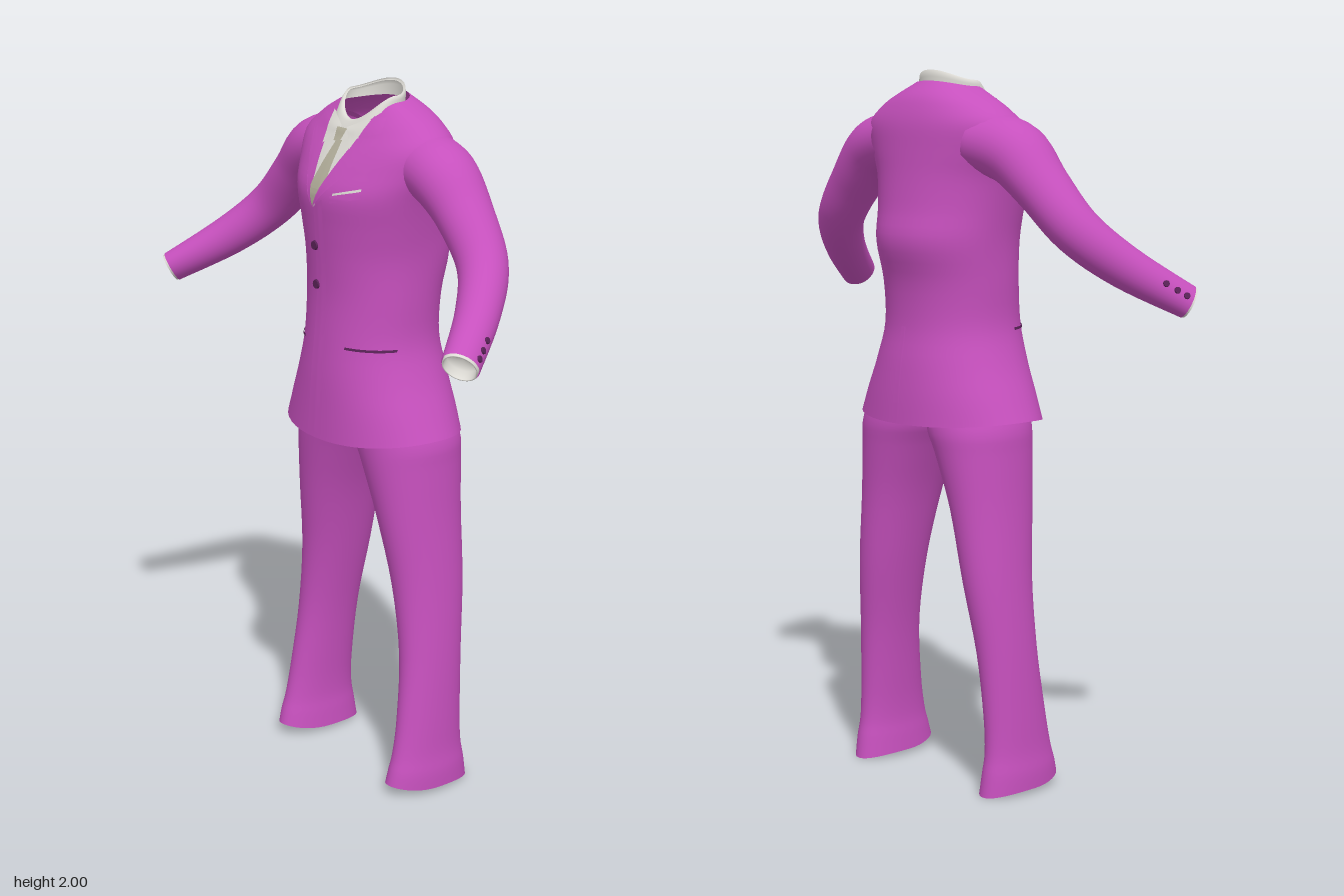
import * as THREE from 'three';

const mat = (name, color) => {
  const m = new THREE.MeshStandardMaterial({ color, side: THREE.DoubleSide });
  m.name = name;
  return m;
};

// Catmull-Rom smoothing of every column in a table of rows
function smooth(rows, k) {
  const out = [], at = i => rows[Math.max(0, Math.min(rows.length - 1, i))];
  for (let i = 0; i < rows.length - 1; i++) {
    for (let j = 0; j < k; j++) {
      const t = j / k;
      out.push(rows[i].map((b, c) => {
        const a = at(i - 1)[c], d = at(i + 1)[c], e = at(i + 2)[c];
        return b + 0.5 * t * (d - a + t * (2 * a - 5 * b + 4 * d - e + t * (3 * (b - d) + e - a)));
      }));
    }
  }
  out.push(rows[rows.length - 1]);
  return out;
}

// Skin over closed rings of points
function loft(rings, side = 1) {
  const n = rings[0].length, pos = [], idx = [];
  for (const ring of rings) {
    const pts = side < 0 ? [...ring].reverse() : ring;
    for (const p of pts) pos.push(p.x * side, p.y, p.z);
  }
  for (let r = 0; r < rings.length - 1; r++) {
    for (let i = 0; i < n; i++) {
      const a = r * n + i, b = r * n + (i + 1) % n;
      idx.push(a, a + n, b, b, a + n, b + n);
    }
  }
  const g = new THREE.BufferGeometry();
  g.setAttribute('position', new THREE.Float32BufferAttribute(pos, 3));
  g.setIndex(idx);
  g.computeVertexNormals();
  return g;
}

// Level ring: y, x from, x to, front z, back z, front rise, back rise
function levelRing([y, x0, x1, zf, zb, df, db], e = 2, n = 48) {
  const pow = v => Math.sign(v) * Math.abs(v) ** (2 / e);
  return Array.from({ length: n }, (_, i) => {
    const a = i / n * Math.PI * 2, c = pow(Math.cos(a)), s = pow(Math.sin(a));
    return new THREE.Vector3((x0 + x1) / 2 + c * (x1 - x0) / 2,
      y + s * s * (s > 0 ? df : db), (zf + zb) / 2 + s * (zf - zb) / 2);
  });
}

export function createModel() {
  const suit = mat('suit cloth', 0xc650bd);
  const shirt = mat('shirt white', 0xdddbd5);
  const tieMat = mat('tie beige', 0xb3af9b);
  const dark = mat('button dark', 0x5a2358);
  const model = new THREE.Group();
  const add = (name, geo, m, parent = model) => {
    const mesh = new THREE.Mesh(geo, m);
    mesh.name = name;
    parent.add(mesh);
    return mesh;
  };

  // Jacket body: y, half width, front z, back z, front rise, back rise
  const body = [
    [1.045, .292, .165, -.24, -.025, -.015],
    [1.11, .262, .16, -.235, 0, 0],
    [1.20, .222, .155, -.225, 0, 0],
    [1.30, .193, .146, -.21, 0, 0],
    [1.42, .194, .137, -.215, 0, 0],
    [1.53, .200, .140, -.242, 0, 0],
    [1.62, .213, .146, -.225, 0, 0],
    [1.71, .233, .150, -.212, 0, 0],
    [1.78, .258, .118, -.205, 0, 0],
    [1.85, .268, .086, -.198, -.02, 0],
    [1.90, .215, .066, -.183, -.04, 0],
    [1.93, .160, .055, -.163, -.05, .005],
    [1.955, .105, .040, -.125, -.06, .015],
  ].map(([y, w, ...rest]) => [y, -w, w, ...rest]);
  const jacket = add('jacketBody', loft(smooth(body, 4).map(r => levelRing(r, 2.15))), suit);
  jacket.updateMatrixWorld();

  // Thin four-cornered patch laid on the front (dir 1) or back (dir -1) of the jacket
  const ray = new THREE.Raycaster();
  const surface = (x, y, dir = 1) => {
    ray.set(new THREE.Vector3(x, y, dir), new THREE.Vector3(0, 0, -dir));
    const hit = ray.intersectObject(jacket)[0];
    return hit ? hit.point.z : 0.04 * dir;
  };
  const drape = (name, m, [a, b, c, d], lift, dir = 1, n = 10) => {
    const g = new THREE.PlaneGeometry(1, 1, n, n), p = g.attributes.position;
    for (let i = 0; i < p.count; i++) {
      const u = p.getX(i) + .5, v = .5 - p.getY(i);
      const [x, y] = [0, 1].map(k => (a[k] * (1 - u) + b[k] * u) * (1 - v) + (d[k] * (1 - u) + c[k] * u) * v);
      p.setXYZ(i, x, y, surface(x, y, dir) + lift * dir);
    }
    g.computeVertexNormals();
    return add(name, g, m);
  };

  // Shirt front, collar points, lapels and pockets on both sides
  const tip = [-.018, 1.672];
  for (const s of [1, -1]) {
    const f = pts => pts.map(([x, y]) => [x * s, y]);
    drape('shirtFront', shirt, [...f([[.088, 1.915], [0, 1.885]]), tip, tip], .004);
    drape('shirtCollarPoint', shirt, f([[.085, 1.92], [.012, 1.886], [.03, 1.868], [.06, 1.835]]), .013);
    drape('jacketCollar', suit, f([[.086, 1.922], [.125, 1.922], [.138, 1.885], [.07, 1.866]]), .011);
    drape('lapel', suit, [...f([[.068, 1.864], [.148, 1.872], [.075, 1.765]]), tip], .011);
    drape('hipPocket', dark, f([[.09, 1.297], [.2 - .012, 1.293], [.2 - .012, 1.286], [.09, 1.29]]), .004);
  }
  drape('frontOverlap', suit, [tip, [.02, 1.70], [.02, 1.04], [-.032, 1.04]], .006);
  drape('breastPocket', suit, [[.055, 1.715], [.15, 1.738], [.15, 1.718], [.055, 1.695]], .01);
  drape('pocketSquare', shirt, [[.06, 1.722], [.145, 1.744], [.145, 1.737], [.06, 1.715]], .007);
  drape('backVent', suit, [[-.004, 1.3], [.012, 1.3], [.022, 1.05], [-.004, 1.05]], .006, -1);

  // Tie
  drape('tieKnot', tieMat, [[-.022, 1.884], [.022, 1.884], [.013, 1.85], [-.013, 1.85]], .018);
  drape('tieBlade', tieMat, [[-.012, 1.852], [.012, 1.852], [.024, 1.725], [-.038, 1.725]], .009);
  drape('tieEnd', tieMat, [[-.038, 1.725], [.024, 1.725], tip, tip], .009);

  // Shirt collar band, dipping at the front
  add('shirtCollarBand', loft([
    [1.94, -.1, .1, .064, -.118, -.066, .012],
    [1.96, -.1, .1, .05, -.118, -.062, .022],
    [1.972, -.096, .096, .04, -.116, -.068, .028],
    [1.968, -.09, .09, .034, -.11, -.066, .026],
  ].map(r => levelRing(r, 2))), shirt);

  // Front buttons
  const button = (name, pos, dir, r, parent) => {
    const b = add(name, new THREE.CylinderGeometry(r * .85, r, .008, 16), dark, parent);
    b.position.copy(pos);
    b.quaternion.setFromUnitVectors(new THREE.Vector3(0, 1, 0), dir);
  };
  for (const y of [1.565, 1.455]) {
    button('frontButton', new THREE.Vector3(-.022, y, surface(-.022, y) + .008), new THREE.Vector3(0, 0, 1), .014, model);
  }

  // Sleeve: centre x, y, z, then half depth and half height
  const arm = smooth([
    [.17, 1.805, -.07, .105, .085],
    [.275, 1.775, -.06, .1, .087],
    [.37, 1.69, -.055, .083, .073],
    [.475, 1.578, -.03, .07, .066],
    [.565, 1.482, .06, .06, .058],
    [.665, 1.387, .2, .052, .043],
  ], 6);
  const armFrame = i => {
    const c = new THREE.Vector3(...arm[i]);
    const t = new THREE.Vector3(...arm[Math.min(i + 1, arm.length - 1)])
      .sub(new THREE.Vector3(...arm[Math.max(i - 1, 0)])).normalize();
    const u = new THREE.Vector3(0, 0, 1).addScaledVector(t, -t.z).normalize();
    return { c, t, u, v: u.clone().cross(t), ru: arm[i][3], rv: arm[i][4] };
  };
  const armRing = (i, k = 1, along = 0) => {
    const { c, t, u, v, ru, rv } = armFrame(i);
    return Array.from({ length: 32 }, (_, j) => {
      const a = j / 32 * Math.PI * 2;
      return c.clone().addScaledVector(t, along)
        .addScaledVector(u, Math.cos(a) * ru * k).addScaledVector(v, Math.sin(a) * rv * k);
    });
  };
  const end = arm.length - 1;
  const cuff = [[.94, -.03], [.94, .006], [.86, .006], [.84, -.025], [.01, -.03]];

  // Trouser leg: y, inner x, outer x, front z, back z, front rise, back rise
  const leg = smooth([
    [.012, .196, .326, .11, -.165, .02, -.012],
    [.06, .2, .325, .1, -.156, .01, 0],
    [.12, .205, .318, .085, -.146, 0, 0],
    [.22, .2, .314, .066, -.145, 0, 0],
    [.4, .18, .305, .044, -.155, 0, 0],
    [.6, .14, .29, .046, -.178, 0, 0],
    [.8, .092, .275, .072, -.19, 0, 0],
    [.95, .035, .268, .092, -.205, 0, 0],
    [1.03, -.002, .262, .1, -.21, 0, 0],
    [1.15, -.01, .215, .11, -.185, 0, 0],
  ], 4);

  for (const s of [1, -1]) {
    const side = s > 0 ? 'left' : 'right';
    const sleeve = new THREE.Group();
    sleeve.name = side + 'Arm';
    model.add(sleeve);
    add(side + 'Sleeve', loft(arm.map((_, i) => armRing(i)), s), suit, sleeve);
    add(side + 'ShirtCuff', loft(cuff.map(([k, d]) => armRing(end, k, d)), s), shirt, sleeve);
    for (const i of [end - 1, end - 2, end - 3]) {
      const { c, u, v, ru, rv } = armFrame(i);
      const dir = u.clone().multiplyScalar(-.6).addScaledVector(v, .8);
      const p = c.clone().addScaledVector(u, -.6 * ru).addScaledVector(v, .8 * rv);
      p.x *= s;
      dir.x *= s;
      button('sleeveButton', p, dir, .01, sleeve);
    }
    add(side + 'TrouserLeg', loft(leg.map(r => levelRing(r, 2.1, 40)), s), suit);
  }
  return model;
}
